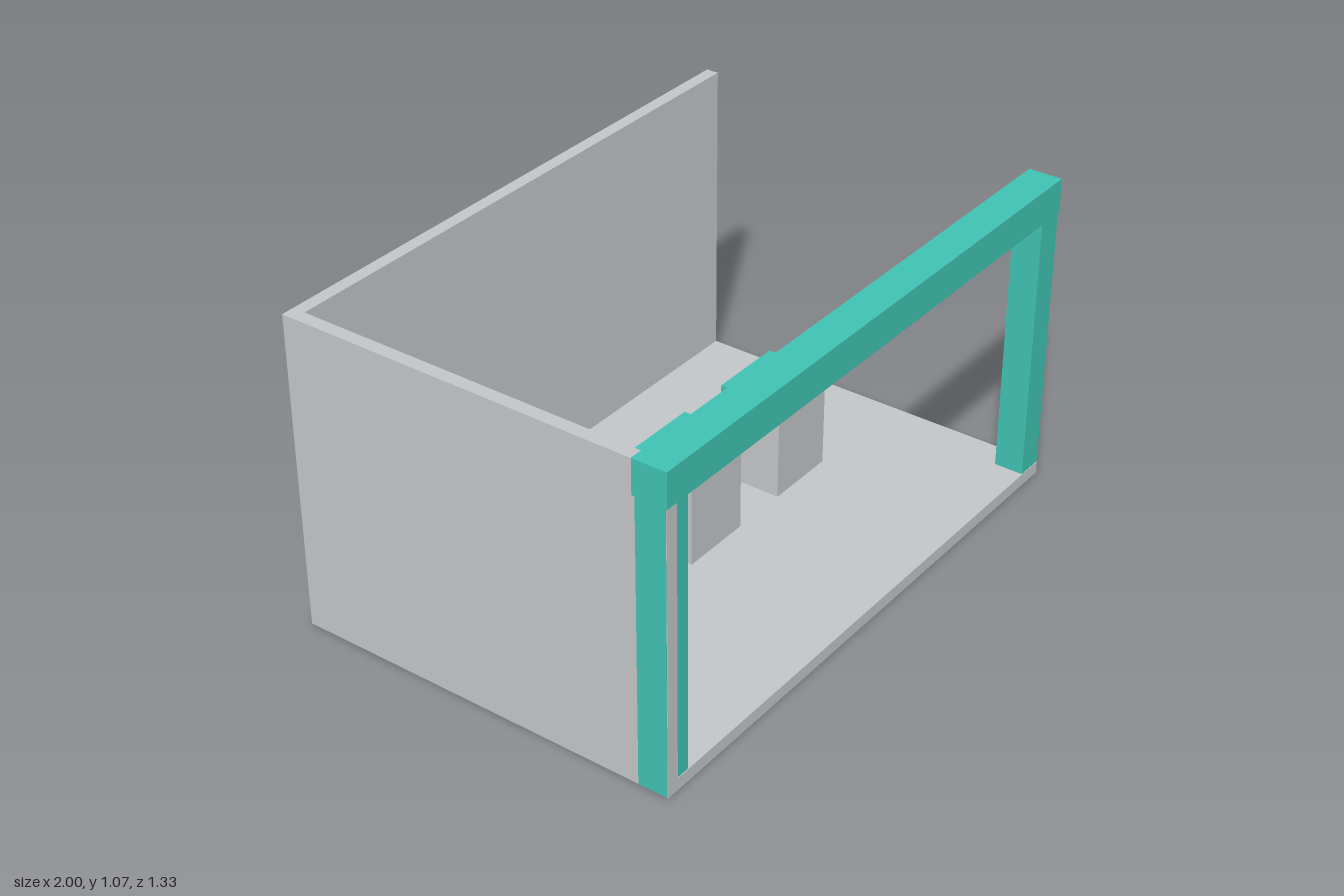
import * as THREE from 'three';

export function createModel() {
  const group = new THREE.Group();
  const grey = new THREE.MeshStandardMaterial({ color: 0xc3c6c8 });
  grey.name = 'light grey';
  const teal = new THREE.MeshStandardMaterial({ color: 0x40c2b3 });
  teal.name = 'teal';

  // Box given by its lowest and highest corners
  function box(name, material, [x0, y0, z0], [x1, y1, z1], parent = group) {
    const mesh = new THREE.Mesh(new THREE.BoxGeometry(x1 - x0, y1 - y0, z1 - z0), material);
    mesh.position.set((x0 + x1) / 2, (y0 + y1) / 2, (z0 + z1) / 2);
    mesh.name = name;
    parent.add(mesh);
  }

  // Booth shell: floor, back wall and one side wall
  box('floor', grey, [-0.955, 0, -0.624], [0.999, 0.042, 0.665]);
  box('backWall', grey, [-0.999, 0, -0.667], [0.999, 1.069, -0.624]);
  box('sideWall', grey, [-0.999, 0, -0.624], [-0.955, 1.069, 0.665]);

  // Front portal: two posts and a deeper beam
  box('leftPost', teal, [0.905, 0.001, 0.563], [1, 0.956, 0.663]);
  box('rightPost', teal, [-1, 0.001, 0.563], [-0.905, 0.956, 0.663]);
  box('beam', teal, [-1, 0.956, 0.553], [1, 1.071, 0.667]);

  // Row of display pedestals with overhanging tops
  for (let i = -1; i <= 1; i++) {
    const pedestal = new THREE.Group();
    pedestal.name = 'pedestal';
    pedestal.position.x = i * 0.46 - 0.002;
    box('pedestalBase', grey, [-0.128, 0.042, -0.105], [0.128, 0.356, 0.103], pedestal);
    box('pedestalTop', teal, [-0.133, 0.356, -0.117], [0.133, 0.381, 0.111], pedestal);
    group.add(pedestal);
  }
  return group;
}
